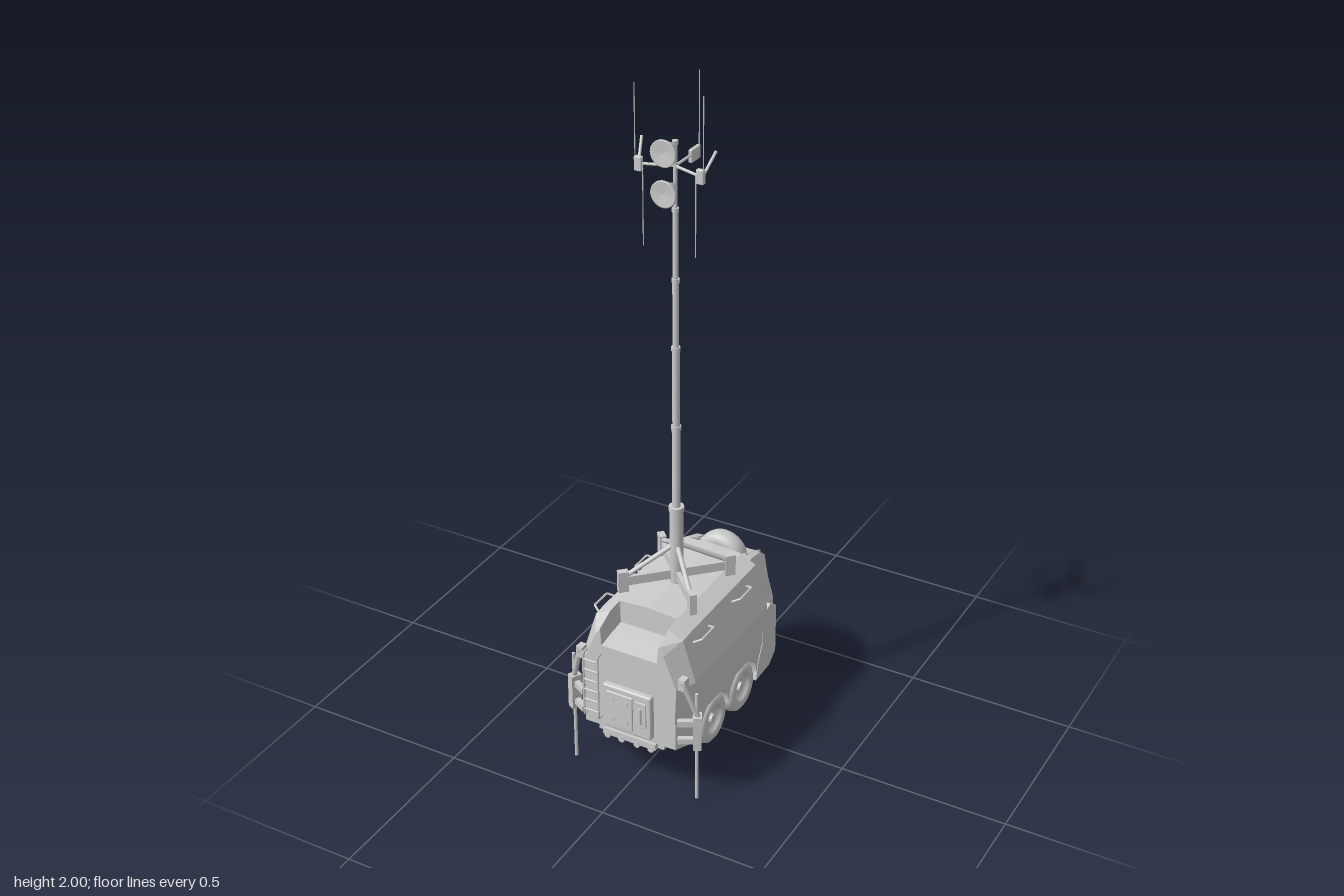
import * as THREE from 'three';
import { RoundedBoxGeometry } from 'three/addons/geometries/RoundedBoxGeometry.js';

const V = (p) => new THREE.Vector3(...p);
const mat = new THREE.MeshStandardMaterial({ color: 0xcccccc, side: THREE.DoubleSide });
const flat = new THREE.MeshStandardMaterial({ color: 0xcccccc, side: THREE.DoubleSide, flatShading: true });

export function createModel() {
  const model = new THREE.Group();
  const add = (name, geo, pos = [0, 0, 0], m = mat) => {
    const mesh = new THREE.Mesh(geo, m);
    mesh.name = name;
    mesh.position.set(...pos);
    model.add(mesh);
    return mesh;
  };
  const box = (name, size, pos) => add(name, new THREE.BoxGeometry(...size), pos);
  const rbox = (name, size, pos, r = 0.006) => add(name, new RoundedBoxGeometry(...size, 2, r), pos);
  // Round bar between two points
  const bar = (name, a, b, r, r2 = r, seg = 12) => {
    const A = V(a), d = V(b).sub(A);
    const mesh = add(name, new THREE.CylinderGeometry(r2, r, d.length(), seg), A.clone().addScaledVector(d, 0.5).toArray());
    mesh.quaternion.setFromUnitVectors(new THREE.Vector3(0, 1, 0), d.normalize());
    return mesh;
  };
  const tube = (name, pts, r) => {
    const path = new THREE.CurvePath();
    for (let i = 1; i < pts.length; i++) path.add(new THREE.LineCurve3(V(pts[i - 1]), V(pts[i])));
    return add(name, new THREE.TubeGeometry(path, pts.length * 8, r, 8));
  };
  // Skin through mirrored half sections (bottom edge up to the centre line), ordered back to front
  const loft = (name, halves) => {
    const rings = halves.map((h) => [...h, ...h.filter((p) => p[0] > 0).reverse().map(([x, y, z]) => [-x, y, z])]);
    const n = rings[0].length, out = [];
    const tri = (...ps) => ps.forEach((p) => out.push(...p));
    for (let i = 0; i + 1 < rings.length; i++) {
      for (let j = 0; j < n; j++) {
        const a = rings[i][j], b = rings[i][(j + 1) % n], c = rings[i + 1][(j + 1) % n], d = rings[i + 1][j];
        tri(a, b, c);
        tri(a, c, d);
      }
    }
    [rings[0], rings.at(-1)].forEach((ring, end) => {
      for (const f of THREE.ShapeUtils.triangulateShape(ring.map(([x, y]) => new THREE.Vector2(x, y)), [])) {
        const [a, b, c] = f.map((k) => ring[k]);
        const ccw = (b[0] - a[0]) * (c[1] - a[1]) - (b[1] - a[1]) * (c[0] - a[0]) > 0;
        if (ccw === (end === 1)) tri(a, b, c); else tri(a, c, b);
      }
    });
    const geo = new THREE.BufferGeometry();
    geo.setAttribute('position', new THREE.Float32BufferAttribute(out, 3));
    geo.computeVertexNormals();
    return add(name, geo, [0, 0, 0], flat);
  };
  // Outline in (z, y) given thickness along x, on both sides
  const sidePlates = (name, shape, x0, x1) => {
    for (const s of [-1, 1]) {
      const geo = new THREE.ExtrudeGeometry(shape, { depth: x1 - x0, bevelEnabled: false, curveSegments: 20 });
      geo.rotateY(-Math.PI / 2);
      geo.translate(s > 0 ? x1 : -x0, 0, 0);
      add(name, geo);
    }
  };
  const poly = (pts) => new THREE.Shape(pts.map((p) => new THREE.Vector2(...p)));

  // Main housing with a recess cut into the front of the roof
  const section = (z, w, drop, floor) => [
    [w - 0.005, 0.24, z], [w, 0.37, z], [w - 0.04, 0.5 - drop, z], [0.092, 0.523 - drop, z],
    [0.088, floor ?? 0.524 - drop, z], [0, floor ?? 0.53 - drop, z]];
  loft('mainHousing', [
    section(-0.142, 0.178, 0), section(0.235, 0.178, 0), section(0.237, 0.178, 0, 0.455),
    section(0.285, 0.178, 0.003, 0.45), section(0.342, 0.148, 0.03, 0.44)]);

  // Tapered rear cowl with an open bay for the spare wheel
  const cowl = (z, w, wt, top, rim, floor, lean = 0) => [
    [w - 0.008, 0.2, z + lean * 0.4], [w, 0.25, z], [w, 0.34, z + lean * 0.4], [wt, top, z + lean],
    [rim, top + 0.003, z + lean], [rim - 0.004, floor, z + lean], [0, floor, z + lean]];
  loft('rearCowl', [
    cowl(-0.336, 0.085, 0.08, 0.42, 0.064, 0.424, 0.022), cowl(-0.328, 0.09, 0.082, 0.425, 0.065, 0.4, 0.02),
    cowl(-0.235, 0.15, 0.105, 0.48, 0.08, 0.385), cowl(-0.162, 0.157, 0.115, 0.503, 0.09, 0.385),
    cowl(-0.16, 0.157, 0.115, 0.503, 0.09, 0.507), cowl(-0.138, 0.157, 0.118, 0.507, 0.092, 0.51)]);
  for (const s of [-1, 1]) bar('bayRim', [s * 0.066, 0.432, -0.305], [s * 0.09, 0.508, -0.16], 0.005);

  // Chassis and lower skirts with wheel arches
  box('chassis', [0.21, 0.11, 0.5], [0, 0.2, 0.085]);
  box('rearFloor', [0.15, 0.04, 0.17], [0, 0.2, -0.235]);
  const skirt = new THREE.Shape();
  skirt.moveTo(0.29, 0.26);
  skirt.lineTo(0.29, 0.165);
  skirt.lineTo(0.25, 0.165);
  skirt.absarc(0.165, 0.165, 0.085, 0, Math.PI, false);
  skirt.absarc(-0.005, 0.165, 0.085, 0, Math.PI, false);
  skirt.lineTo(-0.142, 0.165);
  skirt.lineTo(-0.142, 0.26);
  sidePlates('skirt', skirt, 0.1, 0.173);
  sidePlates('rearMudguard', poly([[-0.12, 0.345], [-0.17, 0.36], [-0.207, 0.335], [-0.207, 0.175],
    [-0.17, 0.145], [-0.085, 0.14], [-0.1, 0.2], [-0.125, 0.25]]), 0.1, 0.175);
  const apron = new THREE.ExtrudeGeometry(poly([[-0.173, -0.27], [-0.173, -0.287], [-0.145, -0.342],
    [0.145, -0.342], [0.173, -0.287], [0.173, -0.27]]), { depth: 0.085, bevelEnabled: false });
  add('frontApron', apron.rotateX(-Math.PI / 2), [0, 0.165, 0]);

  // Road wheels and spare
  const tyre = [[0, 0.012], [0.032, 0.014], [0.04, 0.026], [0.046, 0.03], [0.062, 0.031], [0.072, 0.024],
    [0.076, 0.01], [0.076, -0.01], [0.072, -0.024], [0.062, -0.031], [0.046, -0.03], [0.04, -0.024], [0, -0.02]]
    .map((p) => new THREE.Vector2(...p)).reverse();
  const wheel = (name, pos, axis) => {
    const g = new THREE.Group();
    g.name = name;
    const t = new THREE.Mesh(new THREE.LatheGeometry(tyre, 32), mat);
    t.name = 'tyre';
    const hub = new THREE.Mesh(new THREE.CylinderGeometry(0.013, 0.016, 0.014, 16), mat);
    hub.name = 'hub';
    hub.position.y = 0.018;
    g.add(t, hub);
    g.position.set(...pos);
    g.quaternion.setFromUnitVectors(new THREE.Vector3(0, 1, 0), V(axis));
    model.add(g);
  };
  for (const z of [0.165, -0.005]) {
    for (const s of [-1, 1]) wheel('roadWheel', [s * 0.144, 0.165, z], [s, 0, 0]);
    bar('axle', [-0.13, 0.165, z], [0.13, 0.165, z], 0.012);
  }
  wheel('spareWheel', [0, 0.463, -0.195], [0, 0, -1]);

  // Side grab handles
  for (const s of [-1, 1]) for (const z of [-0.02, 0.205]) {
    tube('grabHandle', [[s * 0.15, 0.475, z - 0.045], [s * 0.172, 0.485, z - 0.033],
      [s * 0.172, 0.485, z + 0.033], [s * 0.15, 0.475, z + 0.045]], 0.0035);
  }

  // Front control panel
  rbox('controlPanel', [0.155, 0.145, 0.022], [0, 0.255, 0.35]);
  rbox('panelDoor', [0.085, 0.115, 0.008], [-0.022, 0.253, 0.361], 0.003);
  rbox('panelLatchPlate', [0.035, 0.085, 0.006], [0.046, 0.262, 0.361], 0.002);
  bar('panelLatch', [0.046, 0.235, 0.366], [0.046, 0.285, 0.366], 0.005);
  for (const x of [-0.045, 0]) for (const y of [0.22, 0.285]) bar('panelKnob', [x, y, 0.36], [x, y, 0.368], 0.008);
  box('frontStep', [0.17, 0.02, 0.05], [0, 0.155, 0.325]);
  for (const x of [-0.07, -0.025, 0.025, 0.07]) bar('outletSocket', [x, 0.145, 0.3], [x, 0.145, 0.352], 0.01);

  // Ladder
  for (const x of [-0.138, -0.092]) {
    tube('ladderRail', [[x, 0.41, 0.335], [x, 0.41, 0.36], [x, 0.2, 0.36], [x, 0.2, 0.335]], 0.0035);
  }
  for (let i = 0; i < 6; i++) bar('ladderRung', [-0.138, 0.22 + i * 0.034, 0.36], [-0.092, 0.22 + i * 0.034, 0.36], 0.003);

  // Front outriggers
  for (const s of [-1, 1]) {
    const sleeve = box('legSleeve', [0.024, 0.11, 0.032], [s * 0.198, 0.23, 0.312]);
    sleeve.rotation.y = s * 0.5;
    for (const y of [0.2, 0.26]) {
      const arm = box('outriggerArm', [0.06, 0.018, 0.016], [s * 0.176, y, 0.325]);
      arm.rotation.y = s * 0.5;
    }
    bar('outriggerLeg', [s * 0.198, 0, 0.315], [s * 0.198, 0.36, 0.315], 0.005);
    bar('outriggerBrace', [s * 0.163, 0.4, 0.335], [s * 0.2, 0.28, 0.312], 0.008);
    box('braceBracket', [0.02, 0.035, 0.025], [s * 0.163, 0.39, 0.328]);
  }

  // Tow bar and rear jack
  for (const s of [-1, 1]) bar('drawbar', [s * 0.085, 0.19, -0.2], [s * 0.012, 0.195, -0.345], 0.01);
  const plate = new THREE.ExtrudeGeometry(poly([[-0.065, 0.33], [-0.045, 0.35], [0.045, 0.35], [0.065, 0.33]]),
    { depth: 0.014, bevelEnabled: false });
  add('hitchPlate', plate.rotateX(-Math.PI / 2), [0, 0.195, 0]);
  bar('coupler', [0, 0.2, -0.34], [0, 0.2, -0.368], 0.009);
  bar('jackLeg', [0, 0, -0.275], [0, 0.2, -0.275], 0.005);
  bar('jackSleeve', [0, 0.12, -0.275], [0, 0.2, -0.275], 0.009);

  // Mast base: four arms, feet and braces
  const mz = 0.075;
  for (const sx of [-1, 1]) for (const sz of [-1, 1]) {
    const fx = sx * 0.11, fz = mz + sz * 0.11;
    const foot = box('mastFoot', [0.02, 0.065, 0.03], [fx, 0.555, fz]);
    foot.rotation.y = sx * sz * Math.PI / 4;
    const arm = box('mastArm', [0.012, 0.028, 0.155], [fx / 2, 0.555, (fz + mz) / 2]);
    arm.rotation.y = sx * sz * Math.PI / 4;
    bar('mastBrace', [fx * 0.9, 0.575, mz + sz * 0.1], [0, 0.655, mz], 0.007);
  }

  // Telescopic mast: [bottom, top, radius]
  for (const [y0, y1, r] of [[0.52, 0.775, 0.02], [0.77, 1.03, 0.012], [1.03, 1.27, 0.0105],
    [1.27, 1.47, 0.009], [1.47, 1.67, 0.0075], [1.67, 1.855, 0.006]]) {
    bar('mastSection', [0, y0, mz], [0, y1, mz], r, r, 16);
    bar('mastCollar', [0, y1 - 0.012, mz], [0, y1, mz], r + 0.002, r + 0.002, 16);
  }

  // Floodlights
  const lamp = [[0, 0], [0.014, 0], [0.017, 0.012], [0.037, 0.046], [0.037, 0.052], [0.034, 0.052], [0, 0.048]]
    .map((p) => new THREE.Vector2(...p));
  for (const y of [1.84, 1.73]) {
    add('floodlight', new THREE.LatheGeometry(lamp, 28), [0, y, 0.087]).rotation.x = Math.PI / 2;
    bar('lampBracket', [0, y, mz], [0, y, 0.092], 0.006);
  }

  // Mast-head aerials
  for (const s of [-1, 1]) {
    bar('aerialArm', [0, 1.785, mz], [s * 0.09, 1.785, 0.105], 0.004);
    rbox('aerialBox', [0.022, 0.04, 0.014], [s * 0.09, 1.785, 0.105], 0.003);
    bar('tiltedAerial', [s * 0.108, 1.84, 0.057], [s * 0.092, 1.78, 0.102], 0.004);
    bar('upperWhip', [s * 0.099, 1.785, 0.107], [s * 0.099, 2, 0.107], 0.0015, 0.0015, 6);
    bar('lowerWhip', [s * 0.077, 1.785, 0.107], [s * 0.077, 1.56, 0.107], 0.0015, 0.0015, 6);
  }
  bar('aerialArm', [0, 1.785, mz], [0, 1.785, -0.01], 0.004);
  rbox('aerialBox', [0.012, 0.036, 0.048], [0, 1.782, -0.026], 0.003);
  bar('upperWhip', [0, 1.785, -0.052], [0, 2, -0.052], 0.002, 0.0015, 6);
  return model;
}
